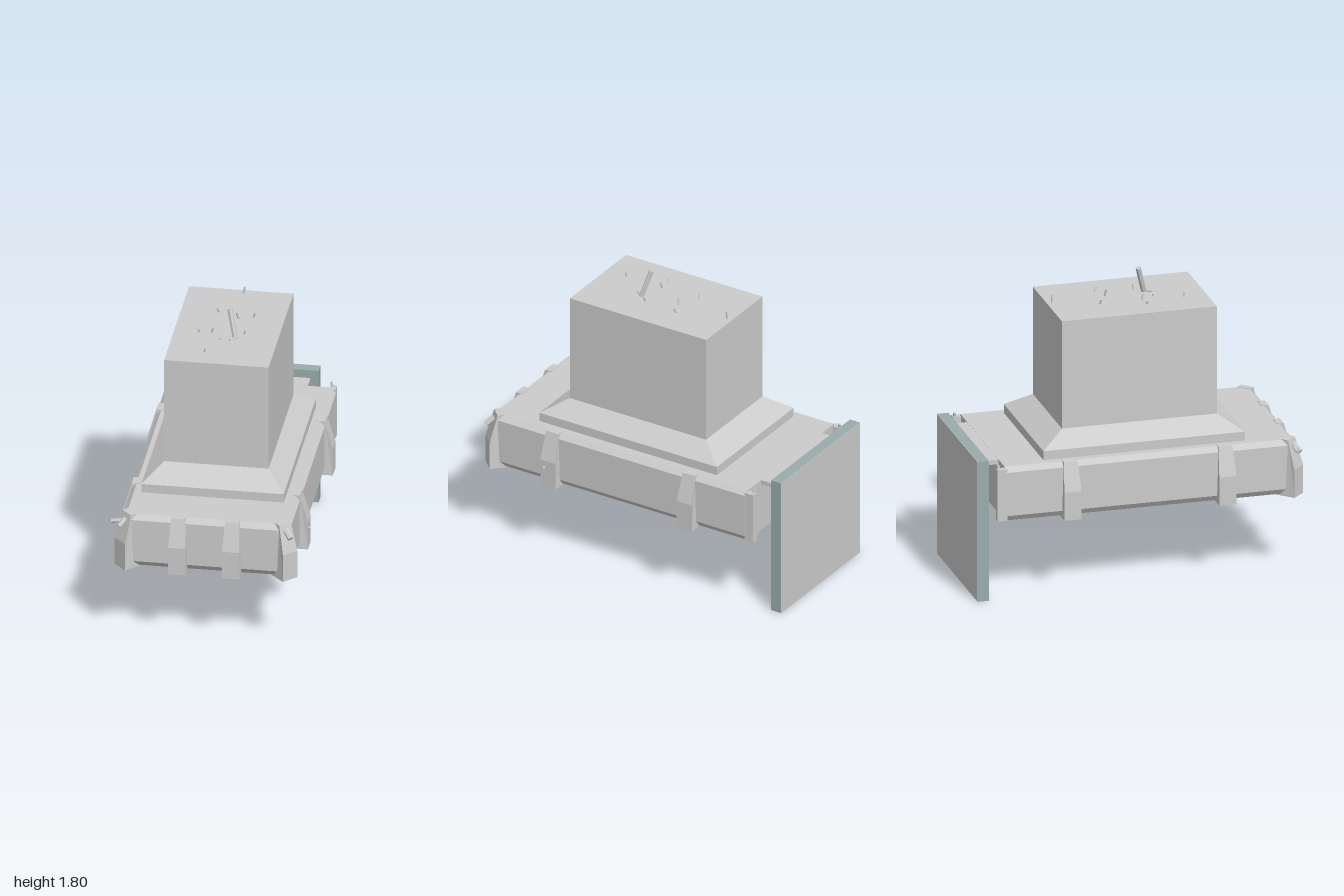
import * as THREE from 'three';

const grey = new THREE.MeshStandardMaterial({ color: 0xcccccc, flatShading: true, side: THREE.DoubleSide });
const slate = new THREE.MeshStandardMaterial({ color: 0x9aabab });

// Rectangle outline at height y, with cut corners at front and back
function ring(x0, x1, z0, z1, y, cf = 0, cb = 0) {
  return [
    [x1, z1 - cf], [x1, z0 + cb], [x1 - cb, z0], [x0 + cb, z0],
    [x0, z0 + cb], [x0, z1 - cf], [x0 + cf, z1], [x1 - cf, z1],
  ].map(([x, z]) => [x, y, z]);
}

// Skin a stack of outlines, closed at both ends
function loft(rings) {
  const n = rings[0].length, pos = [];
  const tri = (a, b, c) => pos.push(...a, ...b, ...c);
  for (let r = 0; r < rings.length - 1; r++) {
    for (let i = 0; i < n; i++) {
      const j = (i + 1) % n, lo = rings[r], hi = rings[r + 1];
      tri(lo[i], lo[j], hi[j]);
      tri(lo[i], hi[j], hi[i]);
    }
  }
  const bottom = rings[0], top = rings[rings.length - 1];
  for (let i = 1; i < n - 1; i++) {
    tri(bottom[0], bottom[i + 1], bottom[i]);
    tri(top[0], top[i], top[i + 1]);
  }
  const g = new THREE.BufferGeometry();
  g.setAttribute('position', new THREE.Float32BufferAttribute(pos, 3));
  g.computeVertexNormals();
  return g;
}

// Tapered clamp: x points outwards from the wall, wider towards the foot
function ribGeometry(width) {
  const pts = [[-0.08, 0.475], [0.05, 0.475], [0.05, 0.65], [0, 0.822], [-0.045, 0.824], [-0.045, 0.5], [-0.08, 0.5]];
  const shape = new THREE.Shape(pts.map(p => new THREE.Vector2(...p)));
  const g = new THREE.ExtrudeGeometry(shape, { depth: width, bevelEnabled: false });
  g.translate(0, 0, -width / 2);
  const p = g.attributes.position;
  for (let i = 0; i < p.count; i++) {
    p.setZ(i, p.getZ(i) * (p.getY(i) > 0.7 ? 0.8 : 1));
  }
  g.computeVertexNormals();
  return g;
}

// Flat frame in the xz plane with cut corners
function frameGeometry(hx, z0, z1, cut, band, depth) {
  const outline = d => ring(-hx + d, hx - d, z0 + d, z1 - d, 0, cut, cut).map(([x, , z]) => new THREE.Vector2(x, z));
  const shape = new THREE.Shape(outline(0));
  shape.holes.push(new THREE.Path(outline(band)));
  return new THREE.ExtrudeGeometry(shape, { depth, bevelEnabled: false }).rotateX(Math.PI / 2);
}

export function createModel() {
  const model = new THREE.Group();
  const add = (name, geometry, material = grey, parent = model) => {
    const m = new THREE.Mesh(geometry, material);
    m.name = name;
    parent.add(m);
    return m;
  };
  const box = (name, x0, x1, y0, y1, z0, z1, material = grey) => {
    const m = add(name, new THREE.BoxGeometry(x1 - x0, y1 - y0, z1 - z0), material);
    m.position.set((x0 + x1) / 2, (y0 + y1) / 2, (z0 + z1) / 2);
    return m;
  };
  const rod = (name, a, b, radius, parent = model) => {
    const A = new THREE.Vector3(...a), B = new THREE.Vector3(...b);
    const m = add(name, new THREE.CylinderGeometry(radius, radius, A.distanceTo(B), 6), grey, parent);
    m.position.copy(A).add(B).multiplyScalar(0.5);
    m.quaternion.setFromUnitVectors(new THREE.Vector3(0, 1, 0), B.sub(A).normalize());
    return m;
  };

  // Wide slab with bevelled edges and cut front corners
  const slab = [[0.485, 0.025], [0.52, 0], [0.79, 0], [0.82, 0.03]];
  add('slab', loft(slab.map(([y, d]) => ring(-0.5 + d, 0.5 - d, -0.83, 0.95 - d, y, 0.06))));
  for (const s of [-1, 1]) {
    const flange = box('rearFlange', -0.02, 0.02, 0.49, 0.81, -0.88, -0.82);
    flange.position.x = s * 0.478;
    box('rearFoot', s * 0.4 - 0.05, s * 0.4 + 0.05, 0.475, 0.5, -0.83, -0.68);
  }
  box('rearTab', -0.34, 0.33, 0.79, 0.819, -0.935, -0.82);

  // Rear panel with its grey outer face
  box('rearPanel', -0.49, 0.38, 0, 0.87, -0.998, -0.93, slate);
  box('rearPanelFace', -0.49, 0.38, 0, 0.87, -1, -0.998);

  // Pedestal, sloping shoulder and tall block
  add('tower', loft([
    ring(-0.425, 0.42, -0.58, 0.65, 0.81),
    ring(-0.425, 0.42, -0.58, 0.65, 0.875),
    ring(-0.312, 0.308, -0.435, 0.51, 0.963),
    ring(-0.312, 0.308, -0.435, 0.51, 1.632),
  ]));

  // Clamps on the sides, front and front corners: x, z, direction
  const rib = ribGeometry(0.105);
  const placeRib = (name, x, z, dx, dz) => {
    const m = add(name, rib, grey);
    m.position.set(x, 0, z);
    m.rotation.y = Math.atan2(-dz, dx);
  };
  for (const s of [-1, 1]) {
    placeRib('sideClamp', s * 0.5, 0.51, s, 0);
    placeRib('sideClamp', s * 0.5, -0.435, s, 0);
    placeRib('frontClamp', s * 0.16, 0.95, 0, 1);
    placeRib('cornerClamp', s * 0.47, 0.92, s, 1);
    // Small pin and fittings on the corners
    rod('cornerPin', [s * 0.475, 0.79, 0.93], [s * 0.51, 0.75, 0.965], 0.018);
    rod('rearPin', [s * 0.48, 0.79, -0.86], [s * 0.465, 0.835, -0.87], 0.008);
  }
  rod('sideStub', [-0.5, 0.775, 0.93], [-0.56, 0.765, 0.93], 0.013);
  rod('sideStub', [0.54, 0.61, 0.53], [0.556, 0.6, 0.54], 0.008);

  // Underside tray: tapered plate with a raised rim and a thin inner outline
  add('underPlate', loft([
    ring(-0.22, 0.22, -0.54, 0.62, 0.464, 0.05, 0.05),
    ring(-0.25, 0.25, -0.57, 0.65, 0.49, 0.05, 0.05),
  ]));
  add('underRim', frameGeometry(0.235, -0.555, 0.635, 0.05, 0.03, 0.022)).position.y = 0.476;
  add('underOutline', frameGeometry(0.17, -0.45, 0.53, 0.07, 0.008, 0.006)).position.y = 0.466;

  // Six-sided vent made of nested rings and spokes
  const vent = new THREE.Group();
  vent.name = 'underVent';
  vent.position.set(0, 0.462, 0.04);
  model.add(vent);
  for (let i = 1; i <= 5; i++) {
    const g = new THREE.TorusGeometry(i * 0.027, 0.006, 4, 6).rotateX(Math.PI / 2);
    add('ventRing', g, grey, vent);
  }
  for (let i = 0; i < 3; i++) {
    const a = i * Math.PI / 3, x = Math.cos(a) * 0.13, z = Math.sin(a) * 0.13;
    rod('ventSpoke', [-x, 0, -z], [x, 0, z], 0.004, vent);
  }

  // Leaning lever with its foot, and small spikes on the roof: x, z, lean, height
  rod('lever', [0.058, 1.625, 0.172], [0.018, 1.795, 0.125], 0.016);
  rod('leverFoot', [0.03, 1.636, 0.21], [0.065, 1.636, 0.175], 0.007);
  const spikes = [
    [0.02, -0.4, 0.005, 0.045], [-0.085, -0.14, -0.012, 0.03], [0.04, -0.075, -0.012, 0.045],
    [0.12, -0.11, 0.012, 0.03], [-0.16, 0.125, -0.008, 0.02], [-0.09, 0.12, 0.008, 0.035],
    [0.1, 0.115, 0.01, 0.03], [-0.02, 0.2, -0.008, 0.01], [-0.095, 0.37, 0.005, 0.025],
  ];
  for (const [x, z, lean, h] of spikes) {
    rod('roofSpike', [x, 1.625, z], [x + lean, 1.632 + h, z + Math.abs(lean) * 0.6], 0.006);
  }
  return model;
}
